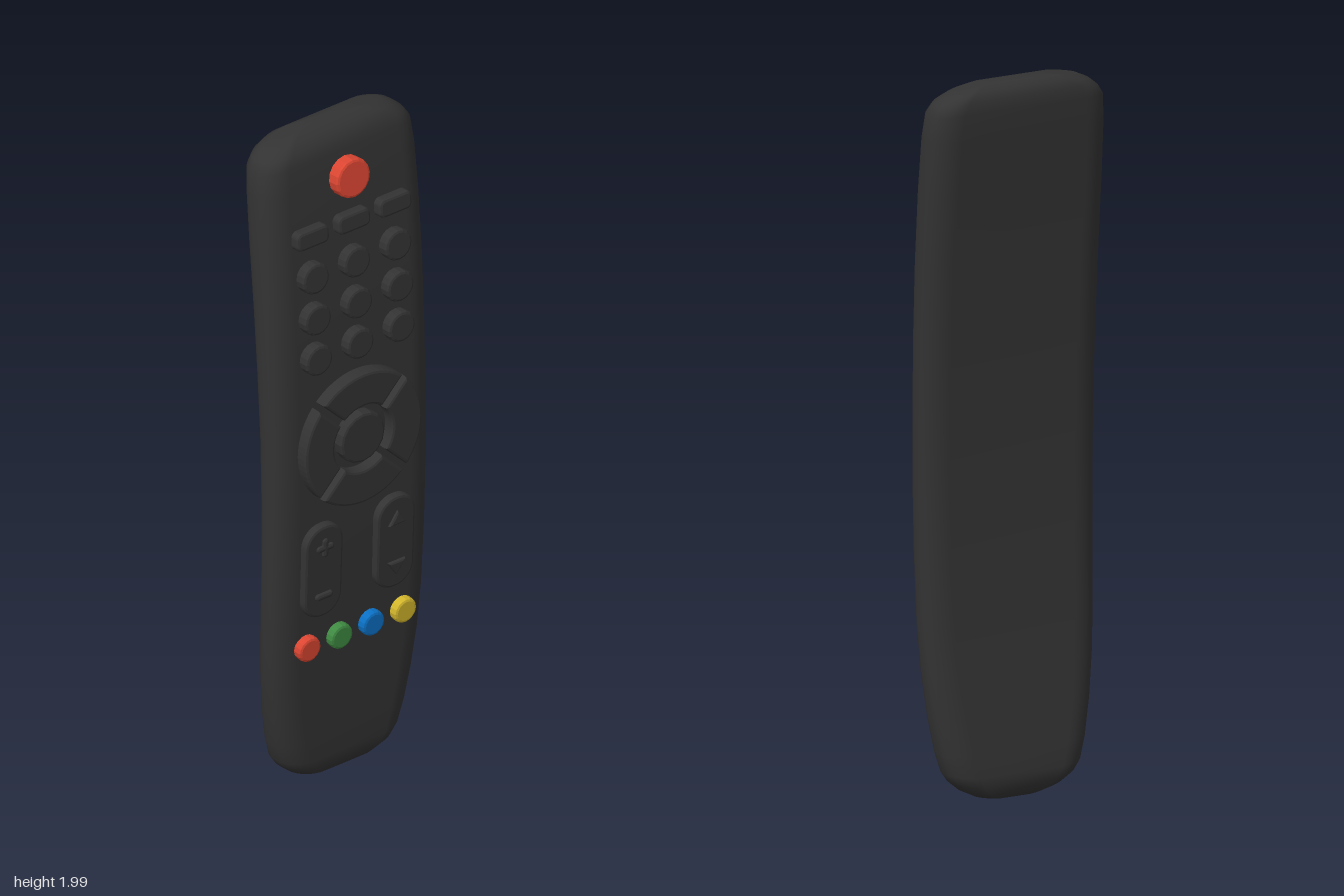
import * as THREE from 'three';

const mat = (name, color) => Object.assign(new THREE.MeshStandardMaterial({ color }), { name });

// Body stations: height, half width, front z, back z, end bow
const STATIONS = [
  [0.008, 0.11, 0.0, -0.05, 0.9],
  [0.02, 0.155, 0.02, -0.07, 0.9],
  [0.045, 0.182, 0.037, -0.085, 0.6],
  [0.08, 0.2, 0.042, -0.088, 0.3],
  [0.15, 0.217, 0.046, -0.082, 0],
  [0.25, 0.235, 0.051, -0.071, 0],
  [0.37, 0.249, 0.058, -0.058, 0],
  [0.5, 0.257, 0.064, -0.047, 0],
  [0.7, 0.261, 0.072, -0.037, 0],
  [0.9, 0.263, 0.076, -0.034, 0],
  [1.1, 0.264, 0.075, -0.038, 0],
  [1.3, 0.266, 0.069, -0.049, 0],
  [1.5, 0.267, 0.06, -0.065, 0],
  [1.7, 0.267, 0.045, -0.085, 0],
  [1.85, 0.264, 0.031, -0.101, 0],
  [1.93, 0.257, 0.022, -0.109, 0.15],
  [1.97, 0.24, 0.012, -0.107, 0.4],
  [1.99, 0.215, -0.008, -0.098, 0.5],
  [2.0, 0.18, -0.03, -0.08, 0.5],
];

// Loft of rounded rectangles along the bowed spine
function bodyGeometry() {
  const pos = [], index = [], seg = 6, n = 4 * (seg + 1);
  for (const [y, w, zf, zb, bow] of STATIONS) {
    const cz = (zf + zb) / 2, h = (zf - zb) / 2, rx = Math.min(0.075, w * 0.6), rz = h * 0.85;
    for (let q = 0; q < 4; q++) {
      const sx = q === 0 || q === 3 ? 1 : -1, sz = q < 2 ? 1 : -1;
      for (let k = 0; k <= seg; k++) {
        const t = (q + k / seg) * Math.PI / 2;
        const x = sx * (w - rx) + rx * Math.cos(t);
        const z = cz + sz * (h - rz) + rz * Math.sin(t);
        pos.push(x, y + (y > 1 ? -1 : 1) * bow * x * x, z);
      }
    }
  }
  const rows = STATIONS.length;
  for (let i = 0; i < rows - 1; i++) {
    for (let j = 0; j < n; j++) {
      const a = i * n + j, b = i * n + (j + 1) % n;
      index.push(a, a + n, b, b, a + n, b + n);
    }
  }
  // End caps
  const first = STATIONS[0], last = STATIONS[rows - 1];
  pos.push(0, first[0], (first[2] + first[3]) / 2, 0, last[0], (last[2] + last[3]) / 2);
  const lo = rows * n, hi = lo + 1, top = (rows - 1) * n;
  for (let j = 0; j < n; j++) {
    const k = (j + 1) % n;
    index.push(lo, j, k, hi, top + k, top + j);
  }
  const g = new THREE.BufferGeometry();
  g.setAttribute('position', new THREE.Float32BufferAttribute(pos, 3));
  g.setIndex(index);
  g.computeVertexNormals();
  return g;
}

// Front surface height and tilt at y
function surface(y) {
  const i = Math.max(1, STATIONS.findIndex((s) => s[0] >= y));
  const a = STATIONS[i - 1], b = STATIONS[i];
  const slope = (b[2] - a[2]) / (b[0] - a[0]);
  return { z: a[2] + slope * (y - a[0]), tilt: Math.atan(slope) };
}

const circle = (r) => new THREE.Shape().absarc(0, 0, r, 0, Math.PI * 2, false);

function roundedRect(w, h, r) {
  const s = new THREE.Shape(), x = w / 2 - r, y = h / 2 - r;
  s.absarc(x, y, r, 0, Math.PI / 2, false);
  s.absarc(-x, y, r, Math.PI / 2, Math.PI, false);
  s.absarc(-x, -y, r, Math.PI, Math.PI * 1.5, false);
  s.absarc(x, -y, r, Math.PI * 1.5, Math.PI * 2, false);
  s.closePath();
  return s;
}

// Quarter of the navigation ring, with a gap of even width at each end
function ringQuarter(mid, inner, outer, gap) {
  const s = new THREE.Shape(), q = Math.PI / 4;
  const o = q - gap / outer, i = q - gap / inner;
  s.absarc(0, 0, outer, mid - o, mid + o, false);
  s.absarc(0, 0, inner, mid + i, mid - i, true);
  s.closePath();
  return s;
}

export function createModel() {
  const group = new THREE.Group();
  group.name = 'remoteControl';
  const dark = mat('charcoal', 0x333333);
  const red = mat('red', 0xdb4632);
  const green = mat('green', 0x3f8a42);
  const blue = mat('blue', 0x0b70c4);
  const yellow = mat('yellow', 0xd2b62c);

  const body = new THREE.Mesh(bodyGeometry(), dark);
  body.name = 'body';
  group.add(body);

  // Button standing on the front surface, with a bevelled rim
  const SINK = 0.02;
  function button(name, shape, x, y, height, material, curveSegments = 8) {
    const bevel = 0.008;
    const g = new THREE.ExtrudeGeometry(shape, {
      depth: height + SINK - bevel, curveSegments,
      bevelThickness: bevel, bevelSize: bevel, bevelOffset: -bevel, bevelSegments: 2,
    });
    g.translate(0, 0, -SINK);
    const mesh = new THREE.Mesh(g, material);
    const { z, tilt } = surface(y);
    mesh.name = name;
    mesh.position.set(x, y, z);
    mesh.rotation.x = tilt;
    group.add(mesh);
    return mesh;
  }

  button('powerButton', circle(0.057), 0, 1.85, 0.036, red);

  // Keypad: one row of bars and three rows of round keys
  for (const x of [-0.14, 0, 0.14]) {
    button('barKey', roundedRect(0.108, 0.054, 0.018), x, 1.72, 0.028, dark, 4);
    for (const y of [1.6, 1.477, 1.355]) button('roundKey', circle(0.045), x, y, 0.031, dark);
  }

  // Navigation ring and centre key
  for (let i = 0; i < 4; i++) {
    button('navigationKey', ringQuarter(i * Math.PI / 2, 0.098, 0.198, 0.009), 0, 1.07, 0.034, dark);
  }
  button('centreKey', circle(0.075), 0, 1.07, 0.031, dark);

  // Rocker keys with raised tactile marks
  const ridge = (w, h) => roundedRect(w, h, 0.009);
  for (const x of [-0.122, 0.122]) {
    button('rockerKey', roundedRect(0.128, 0.285, 0.06), x, 0.698, 0.02, dark);
    for (const s of [1, -1]) {
      const y = 0.698 + s * 0.075;
      if (x < 0) {
        button('rockerRidge', ridge(0.058, 0.02), x, y, 0.029, dark, 3);
        if (s > 0) button('rockerRidge', ridge(0.02, 0.058), x, y, 0.029, dark, 3);
      } else {
        const arrow = new THREE.Shape([[-0.03, -0.018], [0.03, -0.018], [0, 0.026]]
          .map(([px, py]) => new THREE.Vector2(px, py * s)));
        button('rockerArrow', arrow, x, y, 0.029, dark);
      }
    }
  }

  // Row of coloured keys
  [red, green, blue, yellow].forEach((m, i) => {
    button(m.name + 'Key', circle(0.037), -0.163 + i * 0.108, 0.466, 0.024, m);
  });

  return group;
}
